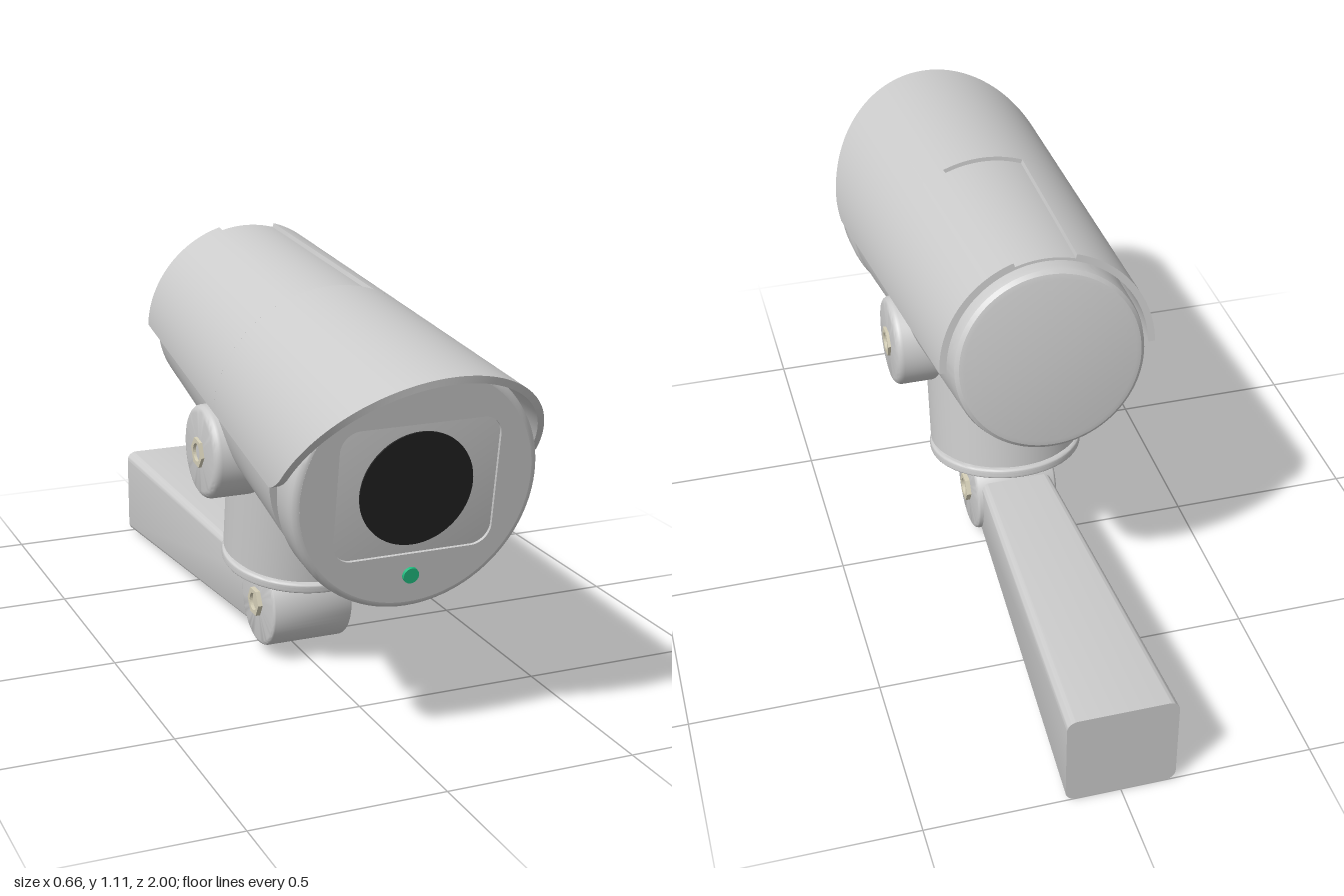
import * as THREE from 'three';
import { toCreasedNormals } from 'three/addons/utils/BufferGeometryUtils.js';

const TILT = 0.143;
const { lerp } = THREE.MathUtils;
const paint = (color) => new THREE.MeshStandardMaterial({ color });
const grey = paint(0xcccccc), black = paint(0x222222), green = paint(0x22bb7f), brass = paint(0xd6d0b8);

function add(parent, name, geometry, material = grey, x = 0, y = 0, z = 0) {
  const mesh = new THREE.Mesh(geometry, material);
  mesh.name = name;
  mesh.position.set(x, y, z);
  parent.add(mesh);
  return mesh;
}

const lathe = (pts, segments = 96) =>
  new THREE.LatheGeometry(pts.map(([r, y]) => new THREE.Vector2(r, y)), segments);

// Cylinder along y with filleted rims
function roundedCylinder(r, length, f) {
  const h = length / 2, pts = [[0, -h]];
  for (const s of [-1, 1]) {
    for (let i = 0; i <= 4; i++) {
      const a = (s < 0 ? i : 4 - i) * Math.PI / 8;
      pts.push([r - f + f * Math.sin(a), s * (h - f + f * Math.cos(a))]);
    }
  }
  pts.push([0, h]);
  return toCreasedNormals(lathe(pts, 64), 0.6);
}

function roundedRect(path, w, h, r) {
  path.moveTo(w - r, -h);
  path.absarc(w - r, -h + r, r, -Math.PI / 2, 0);
  path.absarc(w - r, h - r, r, 0, Math.PI / 2);
  path.absarc(-w + r, h - r, r, Math.PI / 2, Math.PI);
  path.absarc(-w + r, -h + r, r, Math.PI, Math.PI * 1.5);
  path.closePath();
  return path;
}

function circle(r) {
  const s = new THREE.Shape();
  s.absarc(0, 0, r, 0, Math.PI * 2);
  return s;
}

// Tapered housing along z, with screw holes sunk into its sides
function housingGeometry() {
  const z0 = -1.15, z1 = -0.158;
  const radius = (z) => lerp(0.249, 0.307, (z - z0) / (z1 - z0));
  const pts = [[0, -1.177], [0.222, -1.177], [0.235, -1.174], [0.245, -1.165]];
  for (let i = 0; i <= 100; i++) {
    const z = lerp(z0, z1, i / 100);
    pts.push([radius(z), z]);
  }
  pts.push([0.28, z1], [0.28, -0.1]);
  const g = lathe(pts, 150).rotateX(Math.PI / 2);
  const p = g.attributes.position, R = 0.04;
  for (const [hz, hy] of [[-0.364, -0.206], [-0.985, -0.174]]) {
    const floor = Math.sqrt(radius(hz) ** 2 - (Math.abs(hy) + R) ** 2) - 0.006;
    for (let i = 0; i < p.count; i++) {
      const x = p.getX(i), dy = p.getY(i) - hy, dz = p.getZ(i) - hz;
      const d = Math.hypot(dy, dz), side = Math.sign(x);
      if (Math.abs(x) < 0.05 || d > R + 0.006) continue;
      if (d > R - 0.006) {
        const y = hy + dy * R / d, z = hz + dz * R / d;
        p.setXYZ(i, side * Math.sqrt(radius(z) ** 2 - y * y), y, z);
      } else p.setX(i, side * floor);
    }
  }
  return toCreasedNormals(g, 0.5);
}

// Curved piece of the sunshade, bent from a box: x -> angle, y -> thickness, z -> length
const shadeRadius = (z) => 0.335 + 0.049 * z;
function shadePiece(angles, front, back, sink = 0) {
  const g = new THREE.BoxGeometry(1, 1, 1, 72, 1, 24), p = g.attributes.position;
  for (let i = 0; i < p.count; i++) {
    const a = 0.5 - p.getX(i), v = p.getZ(i) + 0.5;
    const z = lerp(back, front(a * Math.PI), v);
    const [t0, t1] = angles(z), t = lerp(t0, t1, a);
    const r = shadeRadius(z) - (p.getY(i) > 0 ? sink : 0.018);
    p.setXYZ(i, r * Math.cos(t), r * Math.sin(t), z);
  }
  g.computeVertexNormals();
  return g;
}

// Hexagonal screw head with a round socket, facing outwards on both sides
function hexPair(parent, name, x, y, z) {
  const hex = new THREE.Shape();
  for (let i = 0; i < 6; i++) {
    const a = i * Math.PI / 3;
    hex[i ? 'lineTo' : 'moveTo'](0.04 * Math.cos(a), 0.04 * Math.sin(a));
  }
  hex.closePath();
  hex.holes.push(circle(0.024));
  const g = new THREE.ExtrudeGeometry(hex, { depth: 0.014, bevelEnabled: false, curveSegments: 16 });
  for (const s of [-1, 1]) {
    add(parent, name, g, brass, s * x, y, z).rotation.y = s * Math.PI / 2;
    add(parent, name + 'Socket', new THREE.CircleGeometry(0.025, 24), brass, s * (x + 0.005), y, z)
      .rotation.y = s * Math.PI / 2;
  }
}

export function createModel() {
  const model = new THREE.Group();
  model.name = 'securityCamera';

  // Camera head, tilted down; its origin is the middle of the front face
  const head = new THREE.Group();
  head.name = 'cameraHead';
  head.position.set(0, 0.682, 0.81);
  head.rotation.x = TILT;
  model.add(head);
  add(head, 'housing', housingGeometry());

  // Front ring and face plate with a sunken window
  const rim = lathe([[0, -0.105], [0.3, -0.105], [0.31, -0.1], [0.315, -0.09], [0.315, -0.022],
    [0.312, -0.01], [0.304, -0.002], [0.295, 0], [0.295, -0.008], [0, -0.008]]).rotateX(Math.PI / 2);
  add(head, 'frontRing', toCreasedNormals(rim, 0.7));
  const face = circle(0.296);
  face.holes.push(roundedRect(new THREE.Path(), 0.205, 0.167, 0.05));
  add(head, 'facePlate', new THREE.ExtrudeGeometry(face,
    { depth: 0.008, bevelEnabled: false, curveSegments: 48 }), grey, 0, 0, -0.008);
  add(head, 'lens', new THREE.CylinderGeometry(0.145, 0.145, 0.01, 64).rotateX(Math.PI / 2), black, 0, 0, -0.009);
  add(head, 'statusLight', new THREE.CylinderGeometry(0.02, 0.021, 0.016, 32).rotateX(Math.PI / 2),
    green, 0, -0.223, 0);

  // Sunshade: slanted front, and a sunken tapering panel on top at the back
  const step = -0.54, rear = -1.15;
  const slant = (t) => {
    const u = 0.342 * Math.sin(t);
    return 0.143 - 0.63 * (0.342 - u) - 0.03 * Math.max(0, 1 - u / 0.05) ** 2;
  };
  const edge = (z) => Math.acos(lerp(0.08, 0.11, (z - rear) / (step - rear)) / shadeRadius(z));
  const flat = () => step;
  add(head, 'sunshadeFront', shadePiece(() => [0, Math.PI], slant, step));
  add(head, 'sunshadeLeft', shadePiece((z) => [0, edge(z)], flat, rear));
  add(head, 'sunshadeRight', shadePiece((z) => [Math.PI - edge(z), Math.PI], flat, rear));
  add(head, 'sunshadePanel', shadePiece((z) => [edge(z), Math.PI - edge(z)], flat, rear, 0.011));

  // Yoke under the head, tilted with it
  const yoke = new THREE.Group();
  yoke.name = 'yoke';
  yoke.position.set(0, 0.3, 0.1);
  yoke.rotation.x = TILT;
  model.add(yoke);
  const cup = new THREE.CylinderGeometry(0.208, 0.208, 1, 96, 1), p = cup.attributes.position;
  for (let i = 0; i < p.count; i++) {
    const top = Math.min(0.3, 0.178 + (0.208 - Math.abs(p.getZ(i))) * 0.83);
    p.setY(i, p.getY(i) > 0 ? top : 0.01);
  }
  add(yoke, 'yokeCup', toCreasedNormals(cup, 0.5));
  add(yoke, 'yokeNeck', new THREE.CylinderGeometry(0.195, 0.195, 0.03, 64));
  add(yoke, 'yokeFlange', roundedCylinder(0.212, 0.028, 0.01), grey, 0, -0.016, 0);
  add(yoke, 'swivelPost', new THREE.CylinderGeometry(0.065, 0.065, 0.14, 32), grey, 0, -0.09, 0);
  add(yoke, 'tiltAxle', roundedCylinder(0.122, 0.618, 0.02).rotateZ(Math.PI / 2), grey, 0, 0.33, 0.022);
  hexPair(yoke, 'tiltScrew', 0.303, 0.33, 0.022);

  // Knuckle and wall arm
  add(model, 'knuckle', roundedCylinder(0.122, 0.23, 0.012).rotateZ(Math.PI / 2), grey, 0, 0.15, 0.075);
  hexPair(model, 'knuckleScrew', 0.114, 0.15, 0.075);
  const arm = new THREE.ExtrudeGeometry(roundedRect(new THREE.Shape(), 1, 1, 0.2),
    { depth: 1.04, bevelEnabled: false, curveSegments: 8 });
  arm.translate(0, 0, -1);
  const q = arm.attributes.position;
  for (let i = 0; i < q.count; i++) {
    const k = -q.getZ(i);
    q.setXY(i, q.getX(i) * lerp(0.098, 0.142, k), 0.136 - 0.004 * k + q.getY(i) * lerp(0.088, 0.132, k));
  }
  add(model, 'wallArm', toCreasedNormals(arm, 0.5));
  return model;
}
